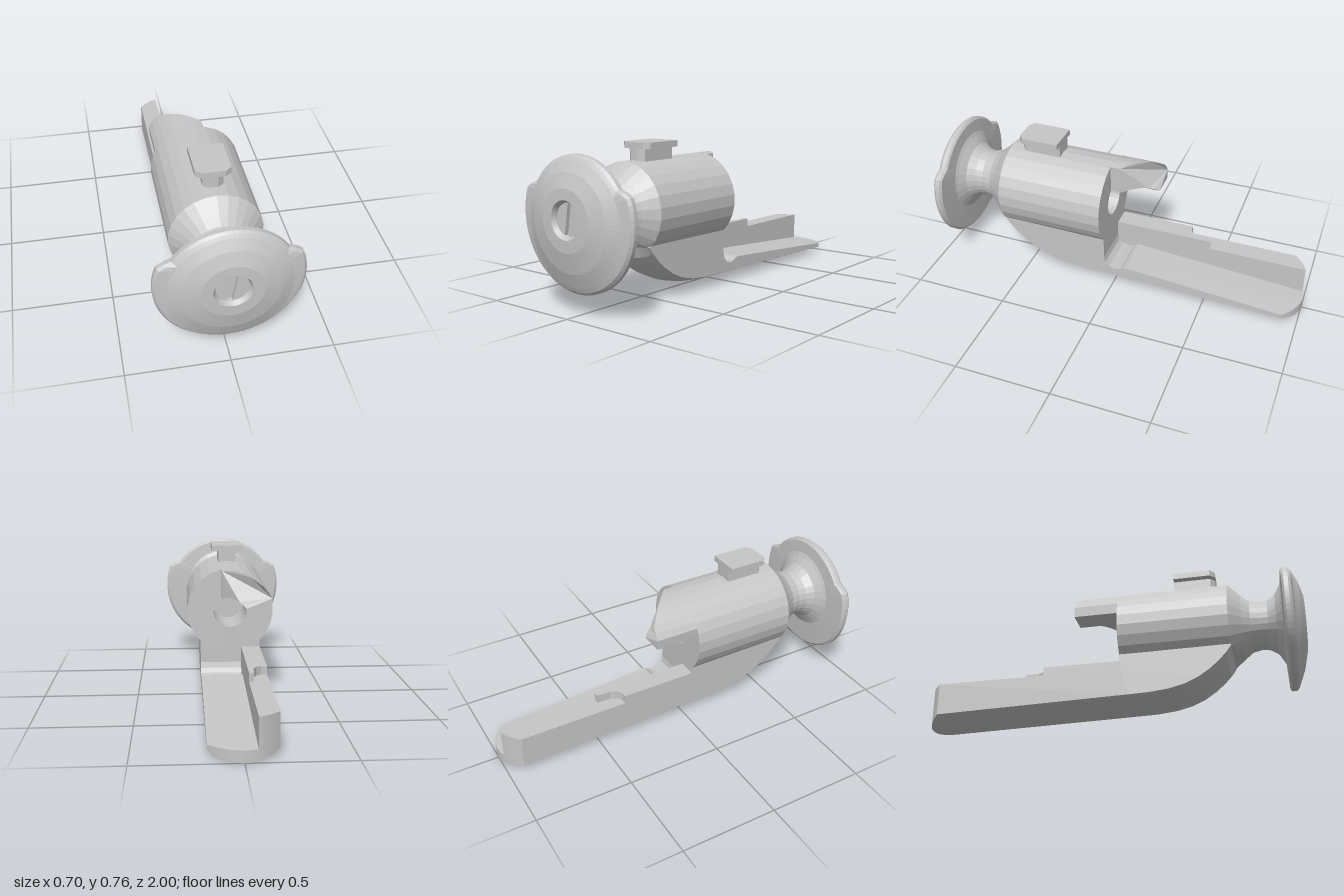
import * as THREE from 'three';

const AXIS_Y = 0.45; // height of the barrel axis
const HALF = 0.16; // half width of the lower arm

const steel = new THREE.MeshStandardMaterial({ color: 0xc6c6c6, flatShading: true });
steel.name = 'grey steel';

function add(group, name, geometry) {
  geometry.computeVertexNormals();
  const mesh = new THREE.Mesh(geometry, steel);
  mesh.name = name;
  group.add(mesh);
}

const shapeOf = (pts) => new THREE.Shape(pts.map(([x, y]) => new THREE.Vector2(x, y)));

// Lower edge of the skirt and arm, as [z, y] at the sides
const keel = [[0.595, 0.25], [0.56, 0.212], [0.51, 0.168], [0.45, 0.128], [0.38, 0.097], [0.3, 0.077], [0.2, 0.066], [0.1, 0.063], [-1, 0.037]];

// Side profile [z, y] spread from x0 to x1, with a rounded keel and a rounded tail
function armSlice(top, x0, x1, steps) {
  const pts = [[0.62, 0.285], ...keel, ...top];
  const geo = new THREE.ExtrudeGeometry(shapeOf(pts.map(([z, y]) => [-z, y])), { depth: x1 - x0, steps, bevelEnabled: false });
  geo.rotateY(Math.PI / 2).translate(x0, 0, 0);
  const p = geo.attributes.position;
  for (let i = 0; i < p.count; i++) {
    const x = p.getX(i), y = p.getY(i), z = p.getZ(i);
    const u = (x / HALF) ** 2;
    if (keel.some(([kz, ky]) => Math.hypot(kz - z, ky - y) < 1e-4)) p.setY(i, y - 0.035 * (1 - u));
    if (z < -0.95) p.setZ(i, z + 0.08 * u);
  }
  return geo;
}

// Barrel with rear bore and flared neck; its front lower edge is trimmed to the skirt
function barrelGeometry() {
  const profile = [
    [0, 0.3], [0.09, 0.3], [0.09, 0.05], [0.23, 0.05], [0.23, 0.615], [0.205, 0.64], [0.165, 0.68],
    [0.135, 0.72], [0.124, 0.77], [0.13, 0.81], [0.155, 0.85], [0.195, 0.875], [0.22, 0.887],
  ].map(([r, z]) => new THREE.Vector2(r, z));
  const geo = new THREE.LatheGeometry(profile, 26);
  geo.rotateX(Math.PI / 2).translate(0, AXIS_Y, 0);
  const p = geo.attributes.position;
  for (let i = 0; i < p.count; i++) {
    const z = p.getZ(i);
    if (z > 0.6 && z < 0.7) p.setY(i, Math.max(p.getY(i), 0.283));
  }
  return geo;
}

// Outline radii of the end cap: a round disc, and the wings on its lower part
const discRadius = (a) => -0.03 * Math.sin(a) + Math.sqrt(0.317 ** 2 - (0.03 * Math.cos(a)) ** 2);
function wingRadius(a) {
  const s = Math.sin(a);
  if (s < 0.31) return 0.35;
  // rounded shoulder, then a level edge running in to the disc
  return Math.max(discRadius(a), Math.min(0.35 - 1.6 * (s - 0.31) ** 2, 0.138 / s));
}

// End cap lofted through rings of [radius, z, outline blend]
function capGeometry() {
  const n = 72;
  const rings = [
    [0, 0.955, 0], [0.078, 0.955, 0], [0.078, 0.975, 0], [0.09, 0.997, 0], [0.15, 0.995, 0.3], [0.25, 0.972, 0.85],
    [0.32, 0.945, 1], [0.338, 0.935, 1], [0.35, 0.922, 1], [0.35, 0.9, 1], [0.338, 0.89, 1], [0.2, 0.882, 0.5], [0, 0.882, 0],
  ];
  const pos = [], idx = [];
  rings.forEach(([r, z, blend], k) => {
    const outline = r > 0.33 ? wingRadius : discRadius;
    for (let i = 0; i < n; i++) {
      const a = (i / n) * Math.PI * 2;
      const rr = r * (1 + blend * (outline(a) / 0.35 - 1));
      pos.push(rr * Math.cos(a), AXIS_Y + rr * Math.sin(a), z);
      if (k === 0) continue;
      const j = (i + 1) % n, a0 = (k - 1) * n, b0 = k * n;
      idx.push(a0 + i, b0 + i, b0 + j, a0 + i, b0 + j, a0 + j);
    }
  });
  const geo = new THREE.BufferGeometry();
  geo.setAttribute('position', new THREE.Float32BufferAttribute(pos, 3));
  geo.setIndex(idx);
  return geo.toNonIndexed();
}

// Hook continuing the barrel shell backwards, with a slanted cam face
function hookGeometry() {
  const pts = [];
  const arc = (r, from, to, n) => {
    for (let i = 0; i <= n; i++) {
      const a = THREE.MathUtils.degToRad(from + ((to - from) * i) / n);
      pts.push([r * Math.cos(a), AXIS_Y + r * Math.sin(a)]);
    }
  };
  arc(0.23, 78, 152, 8);
  pts.push([-0.2, 0.505]);
  arc(0.09, 142, 60, 6);
  const geo = new THREE.ExtrudeGeometry(shapeOf(pts), { depth: 1, bevelEnabled: false });
  const p = geo.attributes.position;
  for (let i = 0; i < p.count; i++) {
    const x = p.getX(i);
    const outer = Math.hypot(x, p.getY(i) - AXIS_Y) > 0.2;
    const start = outer ? -0.165 : -0.07; // where the slant begins
    const slant = Math.max(0, (x - start) / (0.05 - start));
    p.setZ(i, p.getZ(i) < 0.5 ? -0.18 + 0.18 * slant : 0.05);
  }
  return geo;
}

export function createModel() {
  const model = new THREE.Group();
  model.name = 'boltSleeve';

  add(model, 'barrelAndNeck', barrelGeometry());

  // End cap and slotted screw
  add(model, 'endCap', capGeometry());
  const g = Math.asin(0.015 / 0.077);
  for (const turn of [0, Math.PI]) {
    const half = new THREE.Shape();
    half.absarc(0, 0, 0.077, g, Math.PI - g, false);
    const geo = new THREE.ExtrudeGeometry(half, { depth: 0.02, bevelEnabled: false, curveSegments: 14 });
    geo.rotateZ(1.41 + turn).translate(0, AXIS_Y, 0.953);
    add(model, 'screwHalf', geo);
  }

  // Rear hook
  add(model, 'rearHook', hookGeometry());

  // Lower arm: floor side with a round slot, and the raised wall on the right
  const slot = [[-0.076, 0.125], [-0.06, 0.122], [-0.04, 0.109], [-0.012, 0.105], [0.02, 0.113], [0.042, 0.135], [0.05, 0.165]];
  add(model, 'armFloor', armSlice([[-1, 0.06], ...slot, [0.05, 0.32], [0.6, 0.32]], -0.06, HALF, 11));
  add(model, 'armWall', armSlice([[-1, 0.205], [0.05, 0.205], [0.05, 0.32], [0.6, 0.32]], -HALF, -0.06, 5));

  // Raised step on the wall, with a curved notch at its end, as [x, z]
  const step = [[-0.16, 0.06], [-0.06, 0.06], [-0.06, -0.475], [-0.085, -0.47], [-0.088, -0.4], [-0.105, -0.365], [-0.13, -0.35], [-0.16, -0.35]];
  const stepGeo = new THREE.ExtrudeGeometry(shapeOf(step.map(([x, z]) => [x, -z]).reverse()), { depth: 0.05, bevelEnabled: false });
  stepGeo.rotateX(-Math.PI / 2).translate(0, 0.2, 0);
  add(model, 'wallStep', stepGeo);

  // T-shaped lug on top, with chamfered front corners
  for (const [name, w, y, h] of [['lugStem', 0.05, 0.66, 0.076], ['lugPlate', 0.086, 0.735, 0.031]]) {
    const plan = [[-w, -0.33], [-w, -0.525], [-w + 0.03, -0.55], [w - 0.03, -0.55], [w, -0.525], [w, -0.33]];
    const geo = new THREE.ExtrudeGeometry(shapeOf(plan), { depth: h, bevelEnabled: false });
    geo.rotateX(-Math.PI / 2).translate(0, y, 0);
    add(model, name, geo);
  }

  return model;
}
